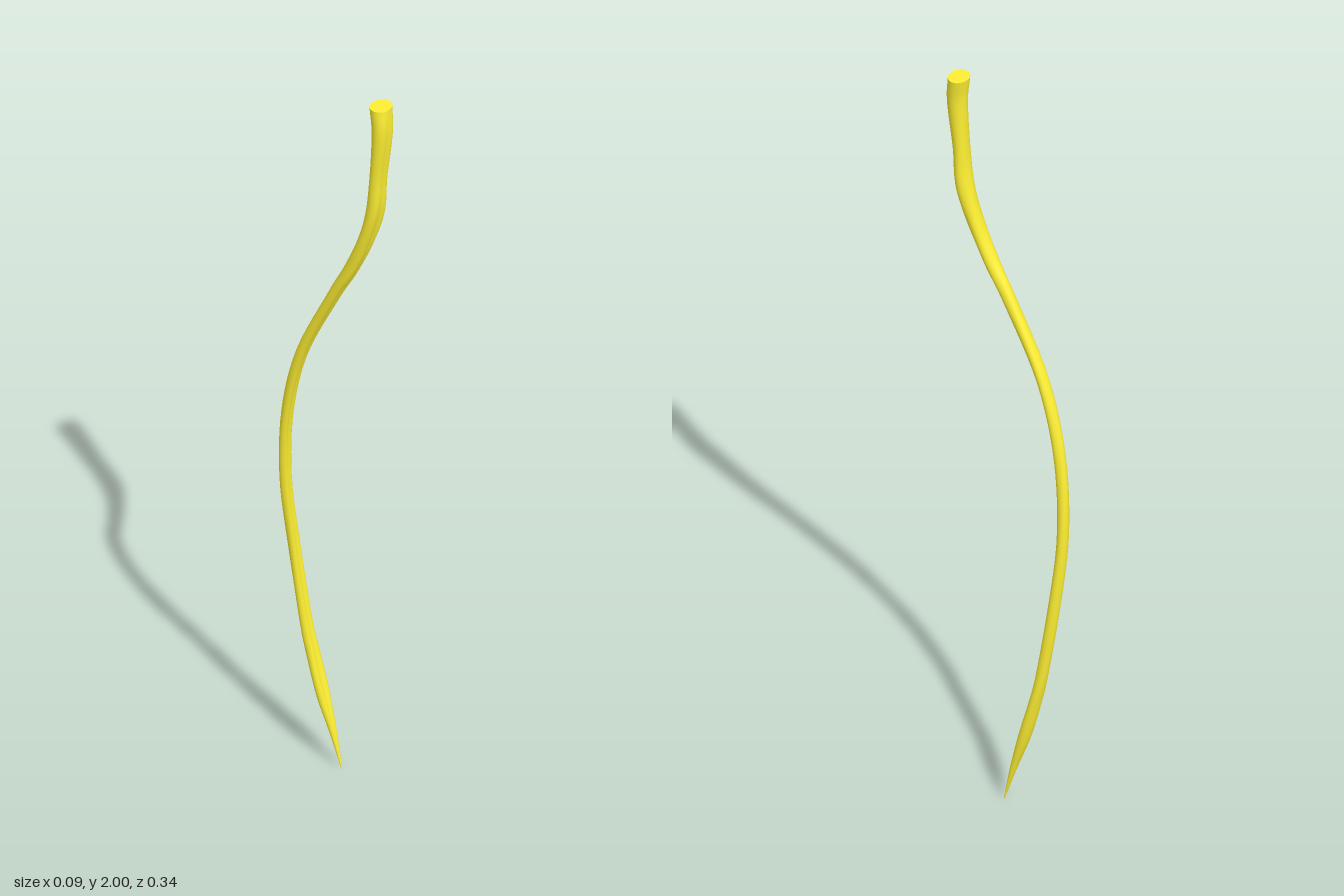
import * as THREE from 'three';

// Stations from tip to cut end: y, x, z, half width, half depth, groove depth
const STATIONS = [
  [0.0, 0.033, -0.018, 0.001, 0.001, 0],
  [0.1, 0.029, -0.043, 0.010, 0.008, 0.25],
  [0.2, 0.023, -0.071, 0.018, 0.014, 0.45],
  [0.3, 0.018, -0.096, 0.018, 0.014, 0.45],
  [0.4, 0.012, -0.116, 0.016, 0.014, 0.4],
  [0.6, 0.001, -0.142, 0.015, 0.014, 0.4],
  [0.8, -0.014, -0.155, 0.015, 0.014, 0.35],
  [1.0, -0.027, -0.137, 0.015, 0.014, 0.35],
  [1.2, -0.030, -0.084, 0.016, 0.014, 0.35],
  [1.4, -0.023, 0.009, 0.017, 0.015, 0.35],
  [1.5, -0.017, 0.062, 0.019, 0.017, 0.35],
  [1.6, -0.011, 0.103, 0.022, 0.018, 0.35],
  [1.7, -0.006, 0.130, 0.025, 0.020, 0.35],
  [1.8, -0.005, 0.139, 0.023, 0.019, 0.3],
  [1.93, -0.004, 0.149, 0.026, 0.024, 0.2],
  [2.0, -0.001, 0.143, 0.029, 0.025, 0.04],
];
const RINGS = 90, SIDES = 24;

const path = new THREE.CatmullRomCurve3(STATIONS.map(([y, x, z]) => new THREE.Vector3(x, y, z)), false, 'catmullrom');
const sizes = new THREE.CatmullRomCurve3(STATIONS.map((s) => new THREE.Vector3(s[3], s[4], s[5])), false, 'catmullrom');

// One cross-section square to the path, with a narrow channel on the front
function ring(t) {
  const centre = path.getPoint(t), size = sizes.getPoint(t);
  const tangent = path.getTangent(t);
  tangent.lerp(new THREE.Vector3(0, 1, 0), THREE.MathUtils.smoothstep(t, 0.95, 1)).normalize();
  const side = new THREE.Vector3(1, 0, 0).addScaledVector(tangent, -tangent.x).normalize();
  const front = side.clone().cross(tangent);
  return Array.from({ length: SIDES }, (_, j) => {
    const a = (j / SIDES) * Math.PI * 2;
    const channel = size.z * Math.pow(Math.max(0, Math.sin(a)), 14);
    const bump = 1 + 0.04 * Math.sin(3 * a + t * 40) * Math.sin(t * Math.PI * 0.9);
    return centre.clone()
      .addScaledVector(side, Math.cos(a) * size.x * bump)
      .addScaledVector(front, Math.sin(a) * size.y * (bump - channel));
  });
}

function makeGeometry(points, index) {
  const geometry = new THREE.BufferGeometry().setFromPoints(points);
  geometry.setIndex(index);
  geometry.computeVertexNormals();
  return geometry;
}

export function createModel() {
  const model = new THREE.Group();
  const material = new THREE.MeshStandardMaterial({ color: 0xfcee32 });
  const add = (name, geometry) => {
    const mesh = new THREE.Mesh(geometry, material);
    mesh.name = name;
    model.add(mesh);
  };

  // Curved tapering stalk
  const rings = Array.from({ length: RINGS + 1 }, (_, i) => ring(i / RINGS));
  const index = [];
  for (let i = 0; i < RINGS; i++) {
    for (let j = 0; j < SIDES; j++) {
      const k = (j + 1) % SIDES;
      const a = i * SIDES + j, b = i * SIDES + k, c = a + SIDES, d = b + SIDES;
      index.push(a, c, b, b, c, d);
    }
  }
  add('stalk', makeGeometry(rings.flat(), index));

  // Flat cut end at the top, and the closed tip
  const cap = (points, up) => {
    const centre = points.reduce((s, p) => s.add(p), new THREE.Vector3()).divideScalar(SIDES);
    const faces = [];
    for (let j = 0; j < SIDES; j++) {
      const k = (j + 1) % SIDES;
      faces.push(SIDES, up ? k : j, up ? j : k);
    }
    return makeGeometry([...points, centre], faces);
  };
  add('cutEnd', cap(rings[RINGS], true));
  add('tip', cap(rings[0], false));

  return model;
}
